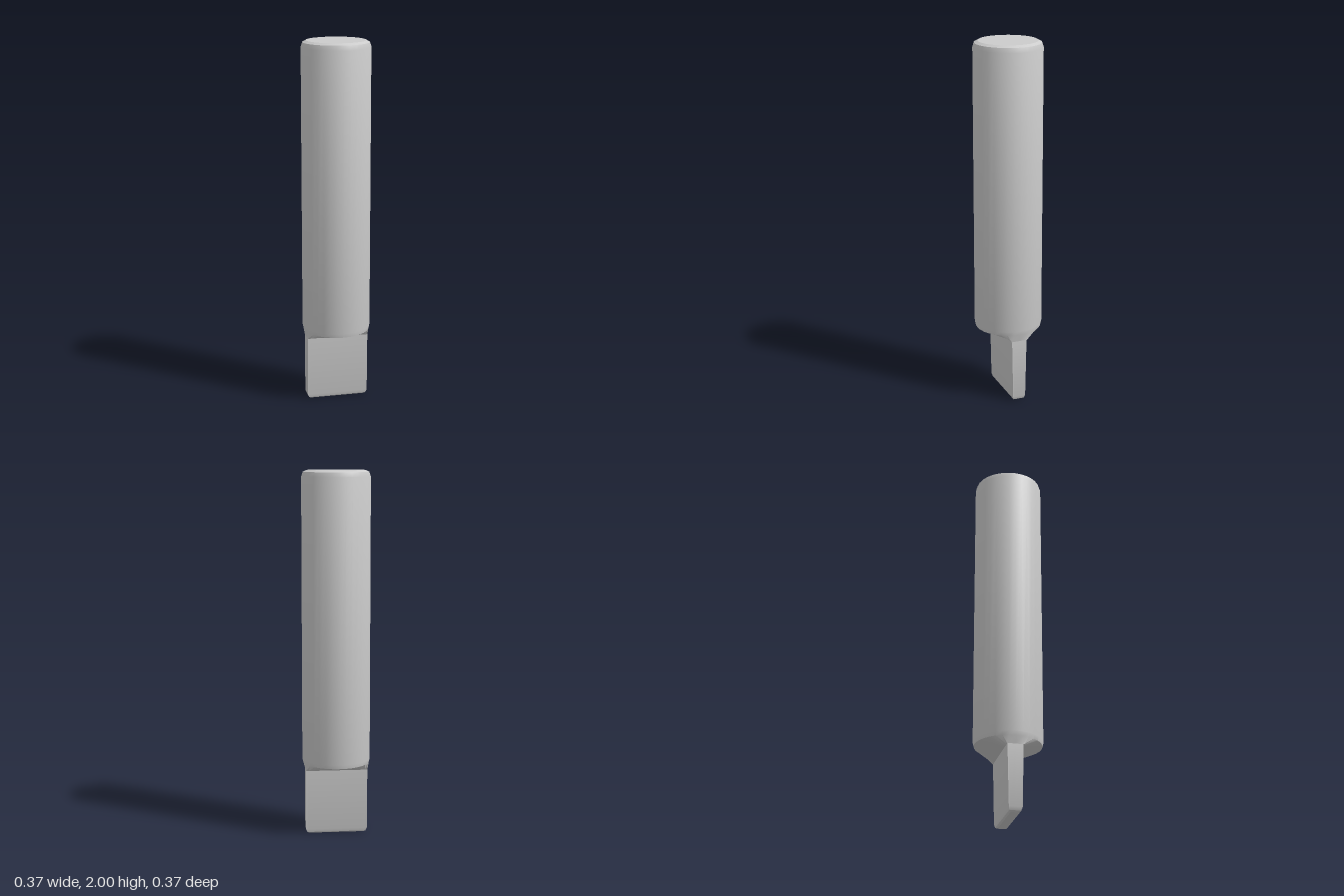
import * as THREE from 'three';
import { toCreasedNormals } from 'three/addons/utils/BufferGeometryUtils.js';

const SIDES = 32;
const RADIUS = 0.187;
const BLADE_X = 0.17;
const BLADE_Z = 0.045;
const clamp = THREE.MathUtils.clamp;

// Round section of the handle
function roundRing(y, r) {
  return Array.from({ length: SIDES }, (_, j) => {
    const a = (j / SIDES) * Math.PI * 2;
    return [r * Math.cos(a), y, r * Math.sin(a)];
  });
}

// Flat section of the blade: the circle squeezed into a rectangle with soft corners
function flatRing(y, halfX, halfZ) {
  return roundRing(y, RADIUS).map(([x, , z]) => [
    clamp(x, -BLADE_X, BLADE_X) * (halfX / BLADE_X),
    y,
    clamp(z, -BLADE_Z, BLADE_Z) * (halfZ / BLADE_Z),
  ]);
}

// Skin a stack of rings, lowest first, and close both ends
function loft(rings) {
  const positions = rings.flat(2);
  const index = [];
  const last = (rings.length - 1) * SIDES;
  const bottom = rings.length * SIDES;
  const top = bottom + 1;
  positions.push(0, rings[0][0][1], 0, 0, rings[rings.length - 1][0][1], 0);
  for (let j = 0; j < SIDES; j++) {
    const k = (j + 1) % SIDES;
    for (let i = 0; i < last; i += SIDES) {
      const a = i + j, b = i + k;
      index.push(a, a + SIDES, b, b, a + SIDES, b + SIDES);
    }
    index.push(bottom, j, k, top, last + k, last + j);
  }
  const geometry = new THREE.BufferGeometry();
  geometry.setAttribute('position', new THREE.Float32BufferAttribute(positions, 3));
  geometry.setIndex(index);
  return toCreasedNormals(geometry, Math.PI / 7);
}

export function createModel() {
  const group = new THREE.Group();
  const material = new THREE.MeshStandardMaterial({ color: 0xcccccc });
  const add = (name, rings) => {
    const mesh = new THREE.Mesh(loft(rings), material);
    mesh.name = name;
    group.add(mesh);
  };

  // Round handle with a bevelled top and a shoulder tapering into the blade
  add('handle', [
    flatRing(0.36, BLADE_X, BLADE_Z),
    roundRing(0.402, 0.182),
    roundRing(0.425, RADIUS),
    roundRing(1.965, RADIUS),
    roundRing(1.99, 0.179),
    roundRing(2, 0.16),
  ]);

  // Flat blade, thinning slightly towards its rounded lower edge
  add('blade', [
    flatRing(0, 0.15, 0.022),
    flatRing(0.007, 0.162, 0.031),
    flatRing(0.025, 0.17, 0.036),
    flatRing(0.362, BLADE_X, 0.043),
  ]);

  return group;
}
